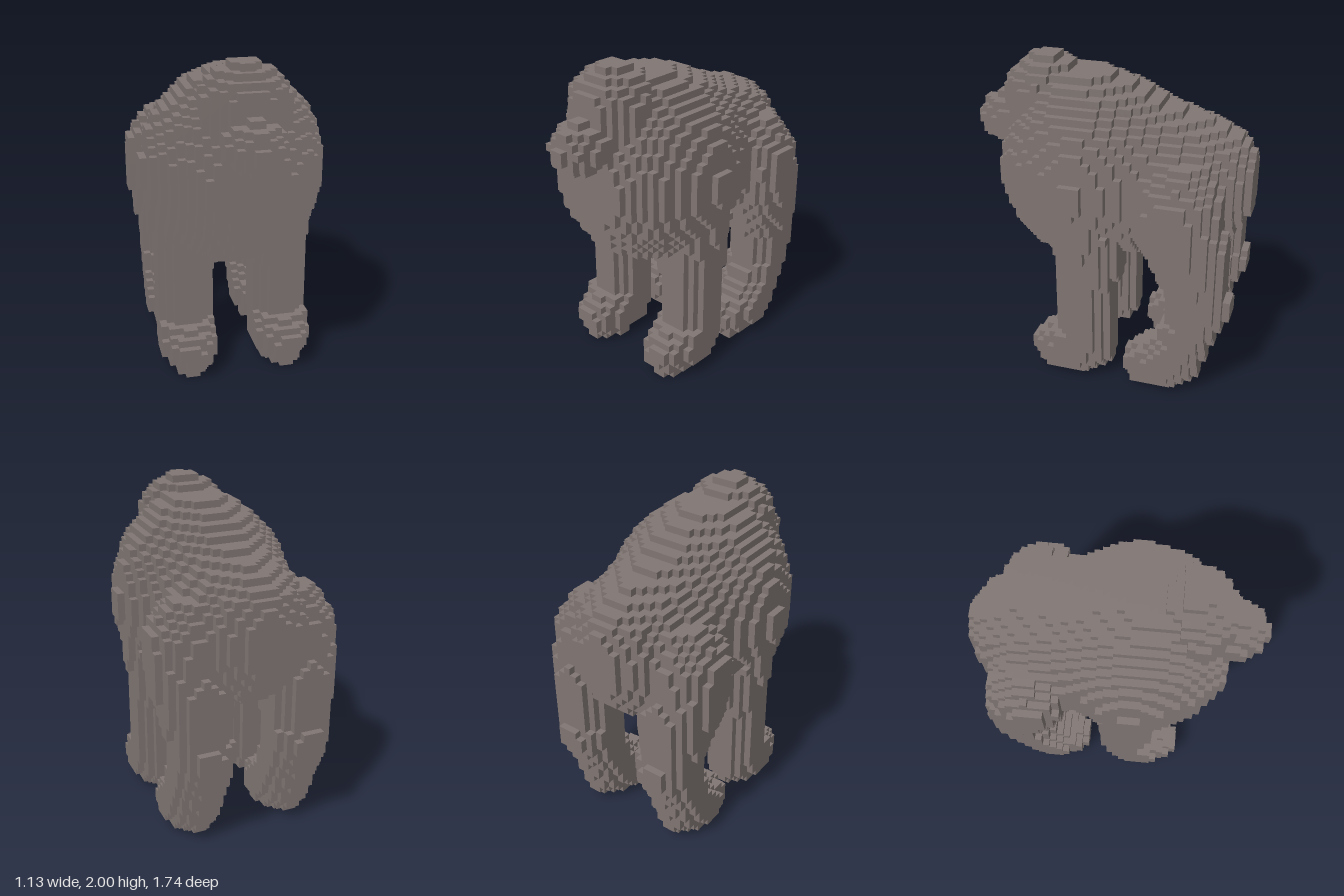
import * as THREE from 'three';

const H = 1 / 23; // edge of one cube

// Linear interpolation in a table whose first column is the key; null outside it
function sample(table, k) {
  for (let i = 0; i < table.length - 1; i++) {
    const a = table[i], b = table[i + 1];
    if (k >= a[0] && k <= b[0]) {
      const t = (k - a[0]) / (b[0] - a[0]);
      return a.map((v, j) => v + (b[j] - v) * t);
    }
  }
  return null;
}

// Torso slices along z: [z, half width, top, bottom]
const BODY = [
  [-0.87, 0.12, 1.47, 1.14], [-0.83, 0.17, 1.54, 1.08], [-0.78, 0.25, 1.60, 1.00],
  [-0.65, 0.35, 1.66, 0.90], [-0.50, 0.40, 1.70, 0.85], [-0.35, 0.43, 1.745, 0.83],
  [-0.24, 0.44, 1.80, 0.83], [-0.13, 0.48, 1.85, 0.80], [-0.06, 0.51, 1.875, 0.77],
  [0.03, 0.545, 1.90, 0.73], [0.10, 0.553, 1.915, 0.70], [0.17, 0.545, 1.92, 0.70],
  [0.28, 0.515, 1.92, 0.74], [0.37, 0.475, 1.90, 0.79], [0.457, 0.43, 1.85, 0.84],
  [0.50, 0.395, 1.80, 0.87], [0.545, 0.35, 1.74, 0.92], [0.59, 0.31, 1.66, 1.00],
  [0.65, 0.24, 1.53, 1.10],
];

// Leg slices along y: [y, z front, z back, x inner, x outer]
const FRONT_LEG = [
  [0.00, 0.38, 0.10, 0.21, 0.39], [0.06, 0.41, -0.04, 0.16, 0.44], [0.12, 0.44, -0.09, 0.13, 0.475],
  [0.20, 0.43, -0.09, 0.125, 0.485], [0.26, 0.37, -0.09, 0.125, 0.485], [0.33, 0.27, -0.09, 0.125, 0.485],
  [0.62, 0.27, -0.09, 0.125, 0.485], [0.74, 0.27, -0.13, 0.08, 0.49], [1.00, 0.29, -0.14, 0.08, 0.51],
  [1.25, 0.26, -0.10, 0.15, 0.51],
];
const HIND_LEG = [
  [0.00, -0.21, -0.48, 0.21, 0.39], [0.06, -0.18, -0.60, 0.16, 0.44], [0.13, -0.17, -0.65, 0.13, 0.475],
  [0.20, -0.18, -0.67, 0.125, 0.485], [0.27, -0.27, -0.69, 0.125, 0.485], [0.35, -0.38, -0.71, 0.125, 0.485],
  [0.50, -0.43, -0.78, 0.125, 0.485], [0.62, -0.43, -0.84, 0.125, 0.485], [0.72, -0.41, -0.80, 0.125, 0.49],
  [0.81, -0.38, -0.79, 0.12, 0.52], [1.00, -0.28, -0.79, 0.10, 0.555], [1.20, -0.245, -0.74, 0.08, 0.57],
  [1.34, -0.25, -0.72, 0.10, 0.555], [1.43, -0.30, -0.69, 0.14, 0.49], [1.52, -0.38, -0.62, 0.20, 0.42],
];

const ellipsoid = (cy, cz, rx, ry, rz) => (x, y, z) =>
  (x / rx) ** 2 + ((y - cy) / ry) ** 2 + ((z - cz) / rz) ** 2 <= 1;

const leg = (table, side) => (x, y, z) => {
  const s = sample(table, y);
  if (!s) return false;
  const [, zf, zb, xi, xo] = s;
  const u = (side * x - (xi + xo) / 2) / ((xo - xi) / 2);
  const v = (z - (zf + zb) / 2) / ((zf - zb) / 2);
  return u ** 2 + v ** 2 <= 1;
};

function body(x, y, z) {
  const s = sample(BODY, z);
  if (!s) return false;
  const [, w, top, bottom] = s;
  const v = y > 1.3 ? (y - 1.3) / (top - 1.3) : (1.3 - y) / (1.3 - bottom);
  return (x / w) ** 2 + v ** 2 <= 1;
}

const PARTS = [
  ['muzzle', ellipsoid(1.575, 0.635, 0.175, 0.155, 0.223)],
  ['head', ellipsoid(1.745, 0.415, 0.265, 0.25, 0.25)],
  ['body', body],
  ['leftFrontLeg', leg(FRONT_LEG, 1)],
  ['rightFrontLeg', leg(FRONT_LEG, -1)],
  ['leftHindLeg', leg(HIND_LEG, 1)],
  ['rightHindLeg', leg(HIND_LEG, -1)],
];

// Cube face directions with the two edge axes (u x v = outward normal)
const FACES = [
  [[1, 0, 0], [0, 1, 0], [0, 0, 1]], [[-1, 0, 0], [0, 0, 1], [0, 1, 0]],
  [[0, 1, 0], [0, 0, 1], [1, 0, 0]], [[0, -1, 0], [1, 0, 0], [0, 0, 1]],
  [[0, 0, 1], [1, 0, 0], [0, 1, 0]], [[0, 0, -1], [0, 1, 0], [1, 0, 0]],
];

export function createModel() {
  const group = new THREE.Group();
  group.name = 'animal';
  const fur = new THREE.MeshStandardMaterial({ color: 0x807673 });
  fur.name = 'greyBrownFur';

  // Fill the grid: each cube belongs to the first part that contains its centre
  const NX = 13, NY = 46, NZ = 20;
  const cells = new Map();
  const key = (i, j, k) => `${i},${j},${k}`;
  for (let i = -NX; i < NX; i++)
    for (let j = 0; j < NY; j++)
      for (let k = -NZ; k < NZ; k++) {
        const p = PARTS.findIndex(([, inside]) => inside((i + 0.5) * H, (j + 0.5) * H, (k + 0.5) * H));
        if (p >= 0) cells.set(key(i, j, k), [p, i, j, k]);
      }

  // Emit only the exposed cube faces of each part
  const data = PARTS.map(() => ({ pos: [], nor: [], idx: [] }));
  for (const [p, i, j, k] of cells.values()) {
    const { pos, nor, idx } = data[p];
    const c = [i + 0.5, j + 0.5, k + 0.5];
    for (const [n, u, v] of FACES) {
      if (cells.has(key(i + n[0], j + n[1], k + n[2]))) continue;
      const base = pos.length / 3;
      for (const [a, b] of [[-1, -1], [1, -1], [1, 1], [-1, 1]]) {
        for (let d = 0; d < 3; d++) pos.push((c[d] + (n[d] + a * u[d] + b * v[d]) / 2) * H);
        nor.push(...n);
      }
      idx.push(base, base + 1, base + 2, base, base + 2, base + 3);
    }
  }

  PARTS.forEach(([name], p) => {
    const geo = new THREE.BufferGeometry();
    geo.setAttribute('position', new THREE.Float32BufferAttribute(data[p].pos, 3));
    geo.setAttribute('normal', new THREE.Float32BufferAttribute(data[p].nor, 3));
    geo.setIndex(data[p].idx);
    const mesh = new THREE.Mesh(geo, fur);
    mesh.name = name;
    group.add(mesh);
  });
  return group;
}
